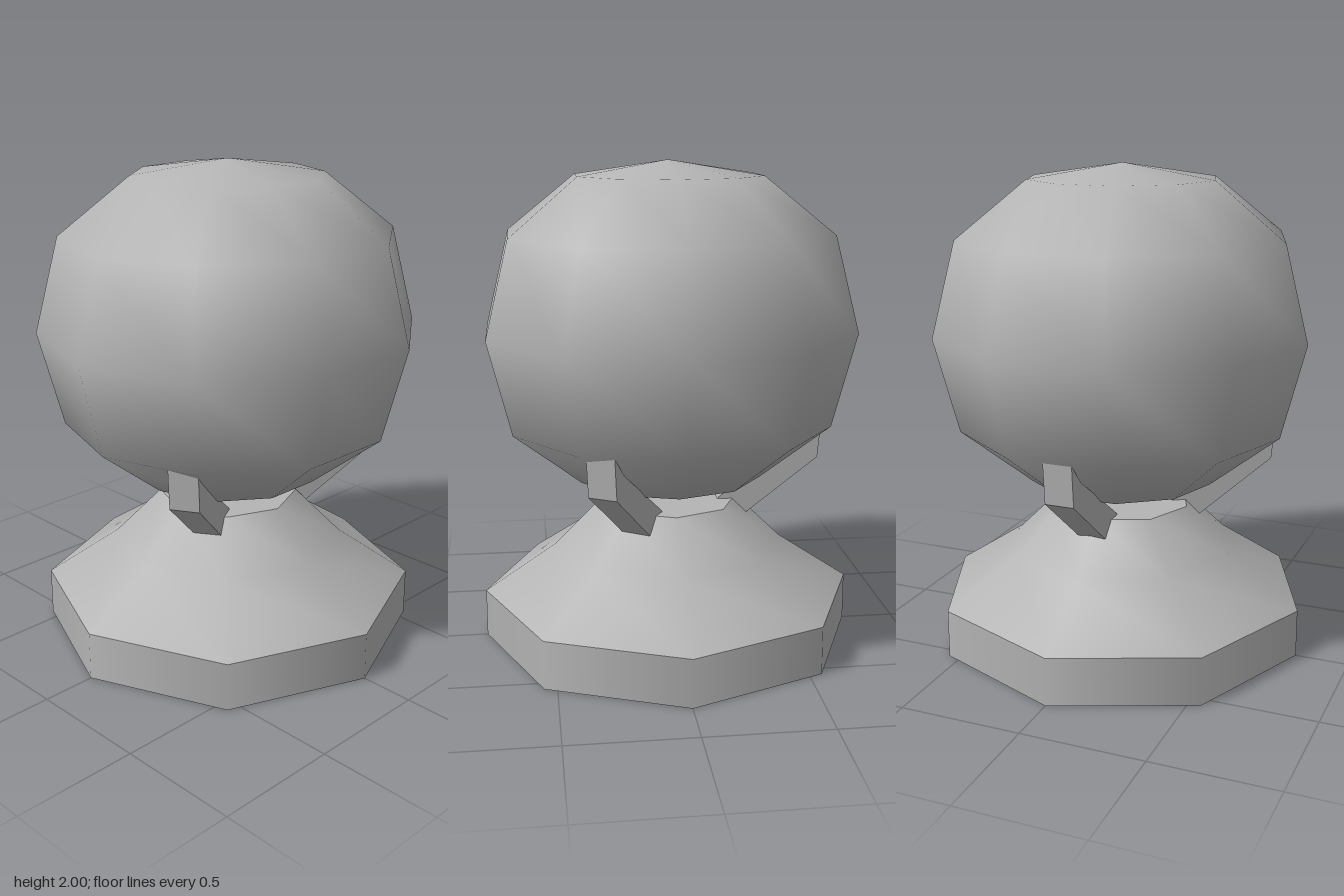
import * as THREE from 'three';

export function createModel() {
  const model = new THREE.Group();
  const grey = new THREE.MeshStandardMaterial({ color: 0xb4b4b4 });
  grey.name = 'grey';
  const greyFlat = grey;

  const add = (name, geometry, parent = model) => {
    const mesh = new THREE.Mesh(geometry, greyFlat);
    mesh.name = name;
    parent.add(mesh);
    return mesh;
  };
  // Profiles run from bottom to top; a corner always lies on the x axis.
  const lathe = (points, sides) => new THREE.LatheGeometry(
    points.map(([r, y]) => new THREE.Vector2(r, y)), sides, Math.PI / 2);

  // Ball: ten sides, slightly flattened poles
  add('ball', lathe([
    [0, 0.64], [0.39, 0.70], [0.68, 0.93], [0.78, 1.32],
    [0.68, 1.71], [0.39, 1.94], [0, 2],
  ], 10));

  // Octagonal pedestal, split where its edges are sharp
  const pedestal = new THREE.Group();
  pedestal.name = 'pedestal';
  model.add(pedestal);
  add('pedestalUnderside', lathe([[0, 0], [0.78, 0]], 8), pedestal);
  add('pedestalRim', lathe([[0.78, 0], [0.78, 0.2]], 8), pedestal);
  add('pedestalSlope', lathe([[0.78, 0.2], [0.48, 0.4], [0.29, 0.59]], 8), pedestal);
  add('pedestalTop', lathe([[0.29, 0.59], [0, 0.59]], 8), pedestal);

  // Three bent prongs holding the ball: side outline given as radius, height
  const width = 0.12;
  const outline = new THREE.Shape([
    [0.19, 0.57], [0.325, 0.525], [0.63, 0.76], [0.645, 0.93],
    [0.56, 0.84], [0.21, 0.6],
  ].map(([r, y]) => new THREE.Vector2(r, y)));
  const prongGeometry = new THREE.ExtrudeGeometry(outline, { depth: width, bevelEnabled: false });
  prongGeometry.translate(0, 0, -width / 2);
  for (let i = 0; i < 3; i++) {
    const prong = add('prong', prongGeometry);
    prong.rotation.y = Math.PI / 2 + i * Math.PI * 2 / 3;
  }

  return model;
}
